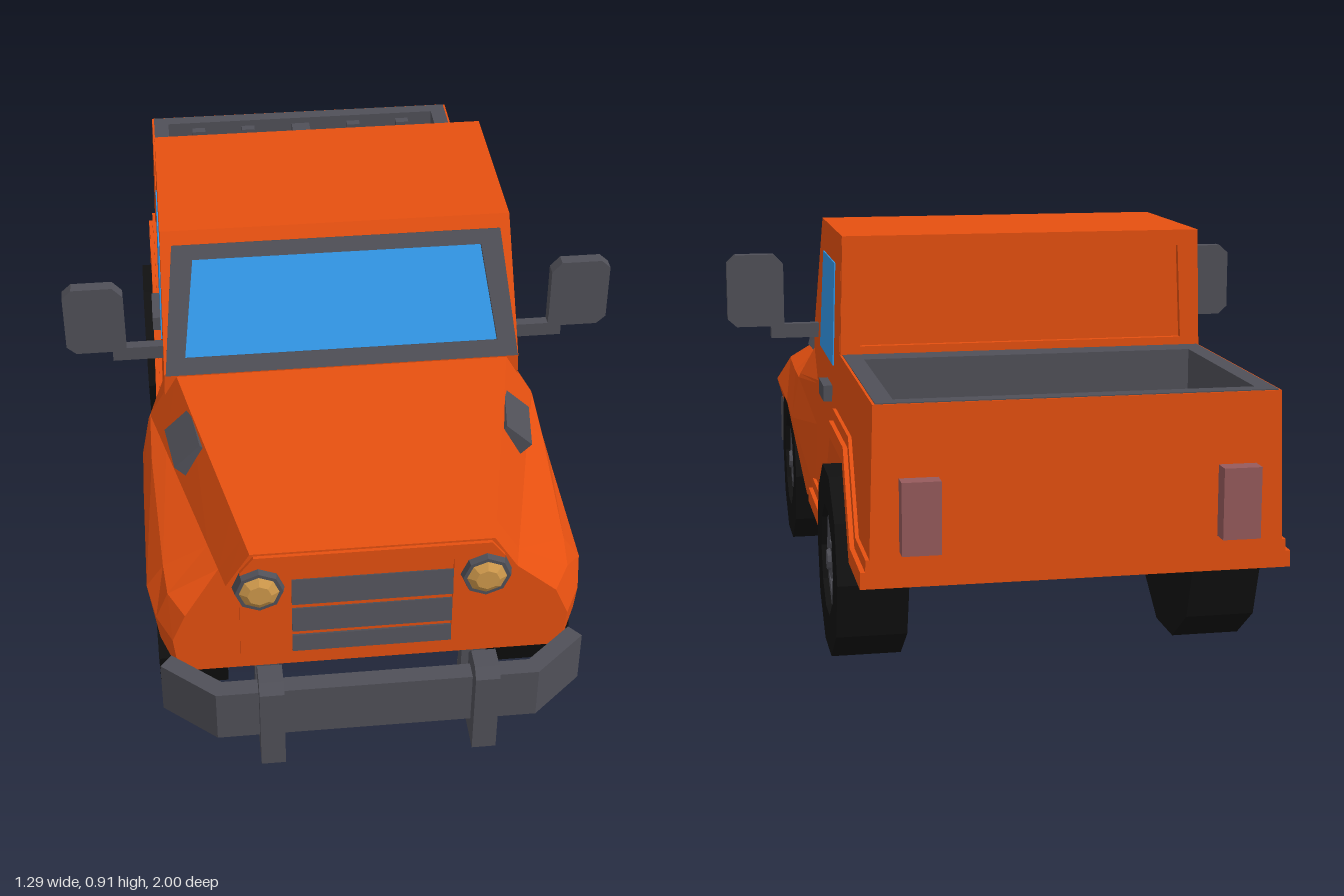
import * as THREE from 'three';

const mat = (name, color) => {
  const m = new THREE.MeshStandardMaterial({ color });
  m.name = name;
  return m;
};

export function createModel() {
  const root = new THREE.Group();
  root.name = 'pickupTruck';
  const orange = mat('orangePaint', 0xe65010), grey = mat('greyTrim', 0x505058);
  const blue = mat('blueGlass', 0x3399ea), black = mat('blackRubber', 0x111111);
  const amber = mat('amberLamp', 0xd09a4c), red = mat('dullRedLamp', 0x965a5c);

  // Helpers
  const flat = (g) => {
    const f = g.index ? g.toNonIndexed() : g;
    f.computeVertexNormals();
    return f;
  };
  const add = (name, geo, m, parent = root) => {
    const mesh = new THREE.Mesh(flat(geo), m);
    mesh.name = name;
    parent.add(mesh);
    return mesh;
  };
  const shapeOf = (pts) => new THREE.Shape(pts.map(([a, b]) => new THREE.Vector2(a, b)));
  const box = (name, m, x0, x1, y0, y1, z0, z1) => add(name,
    new THREE.BoxGeometry(x1 - x0, y1 - y0, z1 - z0)
      .translate((x0 + x1) / 2, (y0 + y1) / 2, (z0 + z1) / 2), m);
  const extrude = (shape, depth) => new THREE.ExtrudeGeometry(shape, { depth, bevelEnabled: false });
  // Side profile given as [z, y], extruded from x0 to x1
  const slab = (pts, x0, x1) => extrude(shapeOf(pts), x1 - x0).rotateY(-Math.PI / 2).translate(x1, 0, 0);
  // Body sides lean inwards towards the roof
  const lean = (g) => {
    const p = g.attributes.position;
    for (let i = 0; i < p.count; i++) p.setX(i, p.getX(i) * (1 - 0.0713 * (p.getY(i) - 0.18)));
    return g;
  };
  const W = 0.435;
  const sideSlab = (name, pts, x0, x1, m, s, leaning = true) => {
    const g = slab(pts, Math.min(s * x0, s * x1), Math.max(s * x0, s * x1));
    add(name, leaning ? lean(g) : g, m);
  };

  // Cabin with doors
  add('cabin', lean(slab([[0.14, 0.18], [-0.19, 0.18], [-0.345, 0.45], [-0.38, 0.45], [-0.38, 0.645],
    [-0.365, 0.645], [-0.365, 0.915], [0.06, 0.915], [0.225, 0.62], [0.225, 0.5], [0.14, 0.45]], -W, W)), orange);

  // Recessed rear panel of the cabin
  const rear = shapeOf([[-0.42, 0.645], [0.42, 0.645], [0.412, 0.915], [-0.412, 0.915]]);
  rear.holes.push(shapeOf([[-0.375, 0.665], [0.375, 0.665], [0.365, 0.88], [-0.365, 0.88]]));
  add('cabinRearFrame', extrude(rear, 0.015).translate(0, 0, -0.38), orange);

  // Windscreen: frame and glass share the slope of the pillars
  const screen = new THREE.Group();
  screen.name = 'windscreen';
  screen.position.set(0, 0.62, 0.225);
  screen.rotation.x = -Math.atan2(0.165, 0.295);
  root.add(screen);
  const glass = shapeOf([[-0.37, 0.04], [0.37, 0.04], [0.34, 0.269], [-0.34, 0.269]]);
  const frame = shapeOf([[-0.418, 0], [0.418, 0], [0.387, 0.304], [-0.387, 0.304]]);
  frame.holes.push(glass);
  add('windscreenFrame', extrude(frame, 0.014), grey, screen);
  add('windscreenGlass', extrude(glass, 0.004), blue, screen);

  // Bonnet and front wings, lofted along z
  const wing = [ // z, then shoulder, widest point and lower edge as x, y
    [0.12, 0.425, 0.49, 0.43, 0.385, 0.43, 0.18],
    [0.215, 0.465, 0.49, 0.485, 0.385, 0.45, 0.18],
    [0.36, 0.462, 0.482, 0.486, 0.40, 0.483, 0.39],
    [0.70, 0.447, 0.457, 0.486, 0.40, 0.483, 0.39],
    [0.78, 0.44, 0.448, 0.468, 0.38, 0.462, 0.32],
    [0.835, 0.405, 0.43, 0.435, 0.36, 0.425, 0.265],
  ];
  const rings = wing.map(([z, ...q]) => {
    const t = (z - 0.22) / 0.615;
    const half = [[0.395 - 0.133 * Math.max(t, 0), 0.615 - 0.02 * t], [Math.min(0.46 - 0.145 * t, q[0]), 0.5 + 0.01 * t],
      [q[0], q[1]], [q[2], q[3]], [q[4], q[5]]];
    return [...half, ...half.slice().reverse().map(([x, y]) => [-x, y])].map(([x, y]) => [x, y, z]);
  });
  const tri = [];
  const quad = (a, b, c, d) => tri.push(...a, ...b, ...c, ...a, ...c, ...d);
  const n = rings[0].length;
  for (let k = 0; k + 1 < rings.length; k++)
    for (let i = 0; i < n; i++) {
      const j = (i + 1) % n;
      quad(rings[k + 1][i], rings[k + 1][j], rings[k][j], rings[k][i]);
    }
  const nose = rings[rings.length - 1];
  for (let i = 0; i + 1 < n / 2; i++) quad(nose[i], nose[n - 1 - i], nose[n - 2 - i], nose[i + 1]);
  const front = new THREE.BufferGeometry();
  front.setAttribute('position', new THREE.Float32BufferAttribute(tri, 3));
  add('bonnetAndWings', front, orange);

  // Grille surround and tilted slats
  const surround = shapeOf([[-0.29, 0.29], [0.29, 0.29], [0.285, 0.55], [0.255, 0.59], [-0.255, 0.59], [-0.285, 0.55]]);
  surround.holes.push(shapeOf([[-0.175, 0.31], [0.175, 0.31], [0.175, 0.55], [-0.175, 0.55]]));
  add('grilleSurround', extrude(surround, 0.009).translate(0, 0, 0.834), orange);
  for (const [y, h] of [[0.485, 0.062], [0.403, 0.058], [0.333, 0.04]]) {
    const slat = add('grilleSlat', new THREE.BoxGeometry(0.35, h, 0.014), grey);
    slat.position.set(0, y, 0.838);
    slat.rotation.x = -0.2;
  }

  // Load bed: underside, tailgate, floor and liner
  add('bedShell', lean(slab([[-0.37, 0.45], [-0.6, 0.45], [-0.76, 0.27], [-0.96, 0.27], [-0.96, 0.645],
    [-0.95, 0.645], [-0.95, 0.32], [-0.78, 0.32], [-0.63, 0.48], [-0.37, 0.48]], -W, W)), orange);
  add('bedFloor', slab([[-0.44, 0.5], [-0.63, 0.5], [-0.705, 0.42], [-0.93, 0.42], [-0.93, 0.33],
    [-0.77, 0.33], [-0.62, 0.485], [-0.44, 0.485]], -0.38, 0.38), grey);
  box('bedFrontWall', grey, -0.38, 0.38, 0.47, 0.647, -0.45, -0.381);
  box('bedRearWall', grey, -0.38, 0.38, 0.35, 0.647, -0.956, -0.92);
  for (const x of [-0.29, -0.15, 0, 0.15, 0.29]) {
    const w = x ? 0.018 : 0.025;
    box('tailgateRib', grey, x - w, x + w, 0.42, 0.63, -0.921, x ? -0.897 : -0.875);
  }

  // Front bumper
  const plan = [[0.335, 0.925], [0.44, 0.835], [0.465, 0.865], [0.35, 0.965]];
  const bar = shapeOf([...plan, ...plan.slice().reverse().map(([x, z]) => [-x, z])].map(([x, z]) => [x, -z]));
  add('frontBumper', extrude(bar, 0.13).rotateX(-Math.PI / 2).translate(0, 0.185, 0), grey);

  // Wheel profiles, turned about the axle
  const lathe = (pts) => new THREE.LatheGeometry(pts.map(([r, y]) => new THREE.Vector2(r, y)), 10).rotateZ(-Math.PI / 2);
  const tyre = lathe([[0, -0.0775], [0.215, -0.0775], [0.215, 0.0775], [0.125, 0.0775], [0.12, 0.04], [0, 0.04]]);
  const rim = lathe([[0.121, 0.04], [0.121, 0.065], [0.095, 0.065], [0.085, 0.05], [0.047, 0.05],
    [0.043, 0.07], [0.025, 0.07], [0.022, 0.078], [0, 0.078]]);

  // Everything that comes in pairs
  for (const s of [-1, 1]) {
    const pair = (name, m, x0, x1, ...r) => box(name, m, Math.min(s * x0, s * x1), Math.max(s * x0, s * x1), ...r);

    for (const z of [0.52, -0.5]) {
      const wheel = new THREE.Group();
      wheel.name = z > 0 ? 'frontWheel' : 'rearWheel';
      wheel.position.set(s * 0.3925, 0.205, z);
      if (s < 0) wheel.rotation.y = Math.PI;
      root.add(wheel);
      add('tyre', tyre, black, wheel);
      add('rim', rim, grey, wheel);
    }

    sideSlab('bedSide', [[-0.37, 0.645], [-0.96, 0.645], [-0.96, 0.27], [-0.76, 0.27], [-0.6, 0.45], [-0.37, 0.45]],
      0.4, W, orange, s);
    sideSlab('bedLiner', [[-0.381, 0.647], [-0.956, 0.647], [-0.956, 0.3], [-0.74, 0.3], [-0.59, 0.47], [-0.381, 0.47]],
      0.375, 0.415, grey, s, false);

    // Stepped moulding round the rear arch and along the sill
    for (const [h, x] of [[0.06, 0.443], [0.035, 0.453]])
      sideSlab('archMoulding', [[0.14, 0.18], [-0.19, 0.18], [-0.345, 0.45], [-0.6, 0.45], [-0.76, 0.27], [-0.96, 0.27],
        [-0.96, 0.27 + h], [-0.76 - h * 0.4, 0.27 + h], [-0.6 - h * 0.4, 0.45 + h], [-0.345 + h * 0.6, 0.45 + h],
        [-0.19 + h * 0.6, 0.18 + h], [0.14, 0.18 + h]], 0.42, x, orange, s);

    sideSlab('sideWindow', [[0.05, 0.6], [0.005, 0.84], [-0.25, 0.84], [-0.25, 0.6]], W - 0.004, W + 0.003, blue, s);
    pair('doorHandle', grey, 0.415, 0.445, 0.51, 0.548, -0.225, -0.115);

    // Door mirror
    pair('mirrorArm', grey, 0.41, 0.54, 0.61, 0.645, 0.115, 0.14);
    pair('mirrorStem', grey, 0.507, 0.54, 0.61, 0.795, 0.115, 0.14);
    const head = shapeOf([[0.53, 0.64], [0.625, 0.64], [0.647, 0.66], [0.647, 0.8], [0.625, 0.82], [0.53, 0.82],
      [0.507, 0.795], [0.507, 0.665]].map(([x, y]) => [s * x, y]));
    add('mirrorHead', extrude(head, 0.03).translate(0, 0, 0.115), grey);

    // Vent on the bonnet flank
    const vent = add('bonnetVent', new THREE.BoxGeometry(0.08, 0.04, 0.14), grey);
    vent.position.set(s * 0.376, 0.566, 0.41);
    vent.rotation.set(0, s * -0.13, s * -0.72);

    // Lamps
    const ring = new THREE.CylinderGeometry(0.052, 0.058, 0.025, 8).rotateX(Math.PI / 2);
    add('headlampRing', ring.translate(s * 0.245, 0.505, 0.845), grey);
    const lens = new THREE.CylinderGeometry(0.026, 0.046, 0.012, 8).rotateX(Math.PI / 2);
    add('headlampLens', lens.translate(s * 0.245, 0.505, 0.862), amber);
    pair('tailLamp', red, 0.29, 0.37, 0.345, 0.495, -1, -0.955);

    // Bumper bracket and its mounting post
    sideSlab('bumperBracket', [[0.78, 0.13], [1, 0.13], [1, 0.34], [0.98, 0.36], [0.93, 0.36], [0.905, 0.33],
      [0.905, 0.18], [0.78, 0.18]], 0.205, 0.258, grey, s, false);
    pair('bumperPost', grey, 0.205, 0.258, 0.17, 0.32, 0.785, 0.825);
  }
  return root;
}
